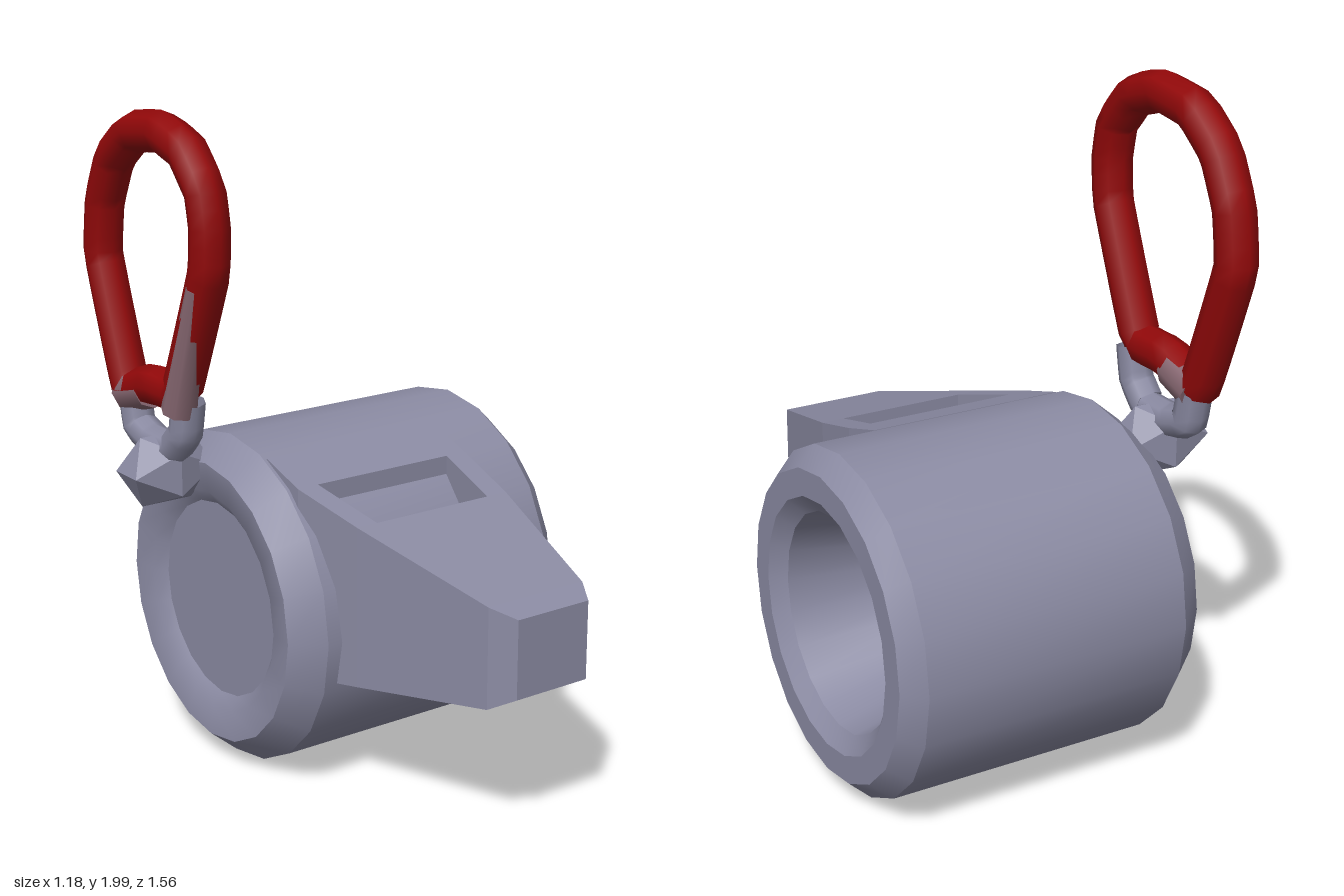
import * as THREE from 'three';
import { toCreasedNormals } from 'three/addons/utils/BufferGeometryUtils.js';

function material(name, color, side = THREE.FrontSide) {
  const m = new THREE.MeshStandardMaterial({ color, side });
  m.name = name;
  return m;
}
const grey = material('greyMetal', 0x8b8ba3, THREE.DoubleSide);
const red = material('redRing', 0x920809);
const worn = material('wornPinkGrey', 0x8a6a74);

function part(name, geometry, mat) {
  const mesh = new THREE.Mesh(geometry, mat);
  mesh.name = name;
  return mesh;
}

// Flat four-cornered faces, corners anticlockwise from outside
function quads(list) {
  const pos = [];
  for (const [a, b, c, d] of list) pos.push(...a, ...b, ...c, ...a, ...c, ...d);
  const g = new THREE.BufferGeometry();
  g.setAttribute('position', new THREE.Float32BufferAttribute(pos, 3));
  g.computeVertexNormals();
  return g;
}

// Drum turned about the x axis: shallow dish on one end, deep bore on the other
function drum() {
  const profile = [
    [0, -0.34], [0.3, -0.34], [0.34, -0.37], [0.43, -0.38], [0.505, -0.29],
    [0.505, 0.53], [0.45, 0.59], [0.37, 0.59], [0.32, 0.55], [0.22, 0.1], [0, 0.08],
  ].map(([r, h]) => new THREE.Vector2(r, h));
  const g = new THREE.LatheGeometry(profile, 20);
  g.rotateZ(-Math.PI / 2);
  g.scale(1, 1.015, 1);
  g.translate(0, 0.522, -0.28);
  return toCreasedNormals(g, 0.55);
}

// Tapered mouthpiece lofted through rectangular sections, with a slot in its top
function mouthpiece() {
  // z, left edge, right edge, bottom, top
  const sections = [
    [-0.1, -0.28, 0.33, 0.95, 1.0],
    [0.06, -0.28, 0.33, 0.37, 0.95],
    [0.28, -0.23, 0.31, 0.4, 0.885],
    [0.72, -0.11, 0.225, 0.458, 0.758],
    [0.775, -0.05, 0.2, 0.49, 0.725],
  ];
  const corners = sections.map(([z, l, r, b, t]) => [[l, b, z], [r, b, z], [r, t, z], [l, t, z]]);
  const faces = [];
  for (let i = 0; i < corners.length - 1; i++) {
    const p = corners[i], q = corners[i + 1];
    for (let k = 0; k < 4; k++) {
      if (i === 1 && k === 2) continue; // slot replaces this top face
      const n = (k + 1) % 4;
      faces.push([p[k], p[n], q[n], q[k]]);
    }
  }
  faces.push(corners[4]);

  // Slot: rim strips, walls and floor
  const inset = 0.07, floor = 0.72;
  const [bl, br] = [corners[1][3], corners[1][2]];
  const [fl, fr] = [corners[2][3], corners[2][2]];
  const shift = (p, dx) => [p[0] + dx, p[1], p[2]];
  const drop = (p) => [p[0], floor, p[2]];
  const a = shift(bl, inset), b = shift(br, -inset), c = shift(fr, -inset), d = shift(fl, inset);
  faces.push([bl, fl, d, a], [b, c, fr, br]);
  faces.push([a, d, drop(d), drop(a)], [c, b, drop(b), drop(c)]);
  faces.push([b, a, drop(a), drop(b)], [d, c, drop(c), drop(d)]);
  faces.push([drop(a), drop(d), drop(c), drop(b)]);
  return quads(faces);
}

// Tube along (z, y) points at a fixed x
function ringTube(points, x, radius, closed, steps) {
  const path = new THREE.CatmullRomCurve3(
    points.map(([z, y]) => new THREE.Vector3(x, y, z)), closed, 'catmullrom', 0.1);
  return new THREE.TubeGeometry(path, steps, radius, 8, closed);
}

// Tapered rod between two points
function rod(from, to, r0, r1) {
  const a = new THREE.Vector3(...from), b = new THREE.Vector3(...to);
  const dir = b.clone().sub(a);
  const g = new THREE.CylinderGeometry(r1, r0, dir.length(), 8);
  g.applyQuaternion(new THREE.Quaternion().setFromUnitVectors(new THREE.Vector3(0, 1, 0), dir.normalize()));
  const mid = a.add(b).multiplyScalar(0.5);
  return g.translate(mid.x, mid.y, mid.z);
}

export function createModel() {
  const model = new THREE.Group();
  model.name = 'whistle';
  model.add(part('drum', drum(), grey));
  model.add(part('mouthpiece', mouthpiece(), grey));

  // Faceted lug on the side of the drum
  const lug = part('lug', new THREE.IcosahedronGeometry(1, 0), grey);
  lug.scale.set(0.16, 0.125, 0.11);
  lug.position.set(-0.45, 0.93, -0.39);
  model.add(lug);

  // Small loop joining lug and ring
  model.add(part('lugLoop', ringTube(
    [[-0.25, 1.17], [-0.27, 1.07], [-0.34, 1.0], [-0.45, 1.0], [-0.54, 1.03], [-0.56, 1.13]],
    -0.45, 0.052, false, 20), grey));

  // Pear-shaped carrying ring
  model.add(part('carryRing', ringTube([
    [-0.1, 1.7], [-0.11, 1.57], [-0.275, 1.19], [-0.42, 1.185], [-0.57, 1.14], [-0.71, 1.53],
    [-0.69, 1.69], [-0.62, 1.83], [-0.5, 1.92], [-0.34, 1.94], [-0.21, 1.9], [-0.12, 1.8],
  ], -0.458, 0.061, true, 48), red));

  // Worn patches where the loop rubs the ring
  model.add(part('wornRearPatch',
    rod([-0.456, 1.165, -0.45], [-0.456, 1.13, -0.575], 0.062, 0.066), worn));
  model.add(part('wornFrontPatch',
    rod([-0.475, 1.14, -0.262], [-0.49, 1.53, -0.125], 0.054, 0.03), worn));
  return model;
}
